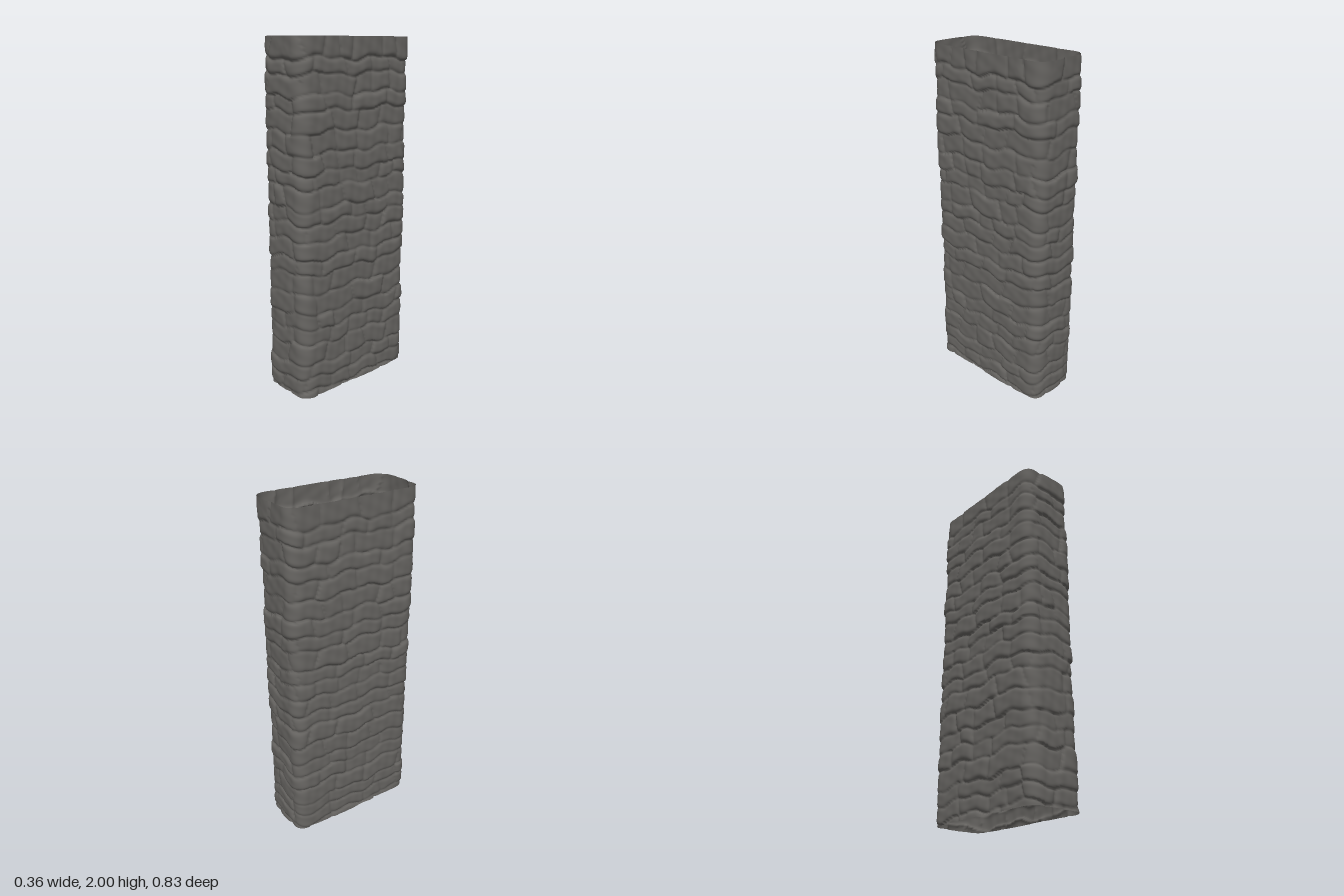
import * as THREE from 'three';

const HALF_X = 0.152, HALF_Z = 0.388, CORNER = 0.045, HEIGHT = 2;
const COLUMNS = 240, ROWS = 270;
const SIDE_X = 2 * (HALF_X - CORNER), SIDE_Z = 2 * (HALF_Z - CORNER), ARC = CORNER * Math.PI / 2;
const PERIMETER = 2 * (SIDE_X + SIDE_Z) + 4 * ARC;

function seeded(seed) {
  return () => {
    seed = (seed * 1664525 + 1013904223) % 4294967296;
    return seed / 4294967296;
  };
}

// Point and outward normal at distance s around the rounded rectangle
function outline(s) {
  const corners = [[1, 1], [1, -1], [-1, -1], [-1, 1]];
  for (let i = 0; i < 4; i++) {
    const side = i % 2 ? SIDE_Z : SIDE_X;
    const [cx, cz] = corners[i].map((v, k) => v * ((k ? HALF_Z : HALF_X) - CORNER));
    const start = Math.PI / 2 - i * Math.PI / 2; // normal angle of the side before this corner
    const onSide = s <= side;
    if (onSide || s <= side + ARC || i === 3) {
      const a = onSide ? start : start - (s - side) / CORNER;
      const back = onSide ? side - s : 0;
      const nx = Math.cos(a), nz = Math.sin(a);
      return {
        x: cx + nx * CORNER - Math.sin(start) * back,
        z: cz + nz * CORNER + Math.cos(start) * back,
        nx, nz
      };
    }
    s -= side + ARC;
  }
}

// Irregular courses, each split into stones running around the corners
function layCourses() {
  const rand = seeded(4711), courses = [];
  let y = -0.05;
  while (y < HEIGHT + 0.06) {
    let h = 0.07 + rand() * 0.05;
    if (y + h > HEIGHT - 0.04) h = 0.2;
    const count = 8 + Math.floor(rand() * 5), shift = rand() * PERIMETER;
    const widths = Array.from({ length: count }, () => 0.55 + rand());
    const total = widths.reduce((a, b) => a + b, 0);
    let u = 0;
    const stones = widths.map((w) => {
      const width = w / total * PERIMETER;
      const stone = {
        u, width, depth: 0.017 + rand() * 0.011, lean: (rand() - 0.5) * 0.7,
        tilt: (rand() - 0.5) * 0.008, low: rand() * 0.012, high: rand() * 0.012
      };
      u += width;
      return stone;
    });
    courses.push({ y, h, shift, stones });
    y += h;
  }
  return courses;
}

const round = (t) => Math.sqrt(1 - (1 - Math.min(Math.max(t, 0), 1)) ** 2);

// How far the stonework swells out at distance s and height y
function swell(courses, s, y) {
  const a = s / PERIMETER * Math.PI * 2;
  const wy = y + 0.011 * Math.sin(a * 5 + y * 3) + 0.008 * Math.sin(a * 11 - y * 7 + 1);
  const course = courses.find((c) => wy < c.y + c.h) ?? courses.at(-1);
  const v = wy - course.y;
  const u0 = (s + course.shift) % PERIMETER;
  let stone, u;
  for (const st of course.stones) {
    const lean = st.lean * (v - course.h / 2);
    u = u0 - st.u - lean;
    if (u >= 0) stone = st;
  }
  stone ??= course.stones.at(-1);
  u = u0 - stone.u - stone.lean * (v - course.h / 2);
  if (u < 0) u += PERIMETER;
  const next = course.stones[(course.stones.indexOf(stone) + 1) % course.stones.length];
  const right = stone.width + (next.lean - stone.lean) * (v - course.h / 2) - u;

  // Rounded top and bottom edges, softer upright joints
  const bed = Math.min(round((v + stone.low) / 0.032), round((course.h - v + stone.high) / 0.032));
  const joint = 0.5 + 0.5 * Math.min(round(u / 0.045), round(right / 0.045));
  const face = stone.depth + stone.tilt * (u / stone.width - 0.5) - 0.003 * (v / course.h - 0.5);
  const rough = 0.0014 * Math.sin(a * 23 + y * 31) * Math.sin(a * 9 - y * 47);
  return Math.min(0.029, face * (0.1 + 0.9 * bed * joint) + rough);
}

// Open shell skinned from closed horizontal loops
function stoneShell() {
  const courses = layCourses(), positions = [], index = [];
  const ring = Array.from({ length: COLUMNS }, (_, i) => {
    const s = i / COLUMNS * PERIMETER;
    return { s, ...outline(s) };
  });
  for (let j = 0; j <= ROWS; j++) {
    const y = j / ROWS * HEIGHT;
    ring.forEach((p, i) => {
      const d = swell(courses, p.s, y);
      positions.push(p.x + p.nx * d, y, p.z + p.nz * d);
      if (j === ROWS) return;
      const a = j * COLUMNS + i, b = j * COLUMNS + (i + 1) % COLUMNS;
      index.push(a, a + COLUMNS, b, b, a + COLUMNS, b + COLUMNS);
    });
  }
  const geometry = new THREE.BufferGeometry();
  geometry.setAttribute('position', new THREE.Float32BufferAttribute(positions, 3));
  geometry.setIndex(index);
  geometry.computeVertexNormals();
  return geometry;
}

export function createModel() {
  const stone = new THREE.MeshStandardMaterial({ color: 0x666461, side: THREE.DoubleSide });
  stone.name = 'grey stone';
  const shell = new THREE.Mesh(stoneShell(), stone);
  shell.name = 'stonePillarShell';
  const group = new THREE.Group();
  group.name = 'stonePillar';
  group.add(shell);
  return group;
}
